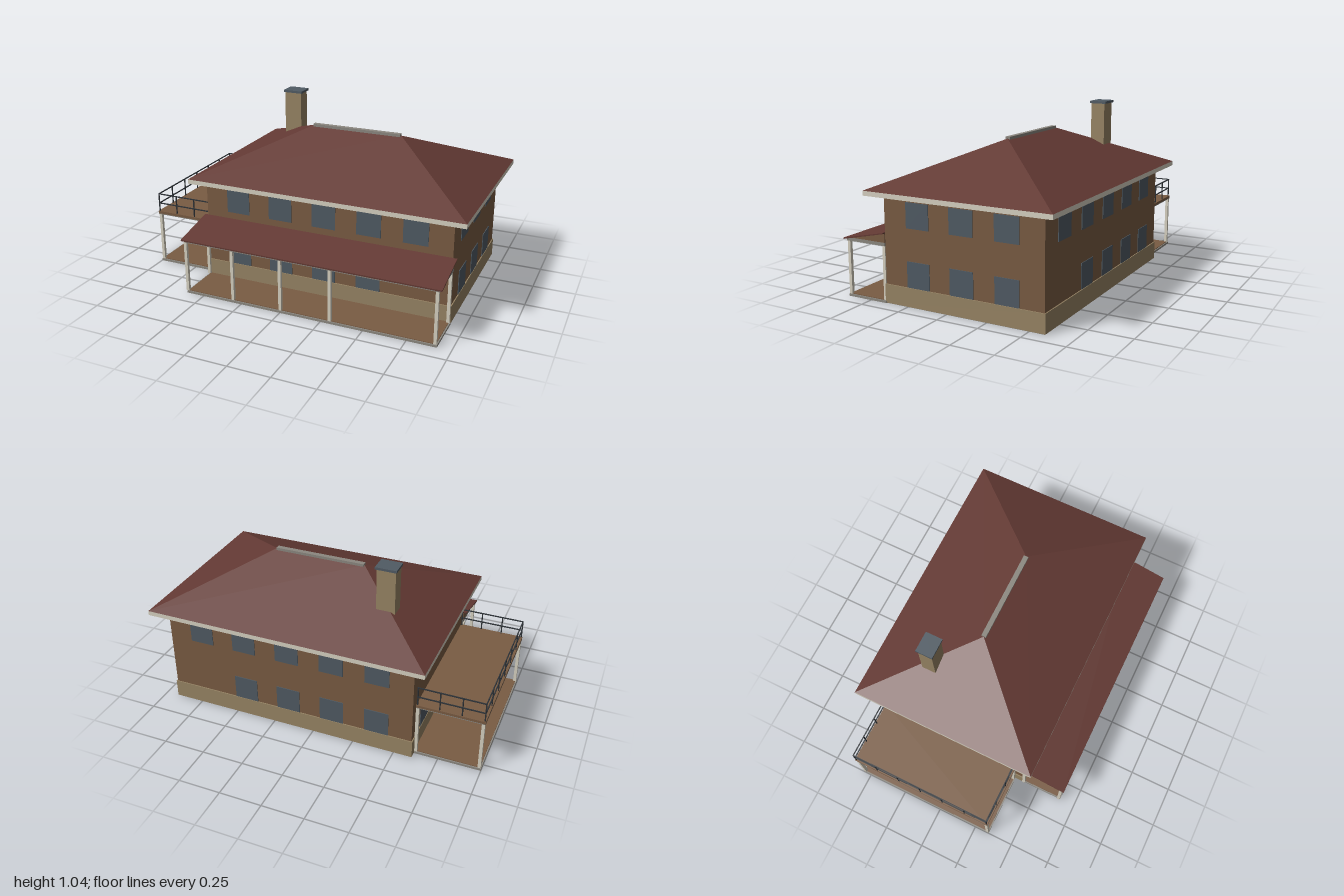
import * as THREE from 'three';

const mat = (name, color, extra = {}) => {
  const m = new THREE.MeshStandardMaterial({ color, ...extra });
  m.name = name;
  return m;
};

export function createModel() {
  const wall = mat('brown siding', 0x7a5c43);
  const stone = mat('tan masonry', 0x988565);
  const roofRed = mat('dark red roofing', 0x643a34, { side: THREE.DoubleSide });
  const trim = mat('cream trim', 0xd8d2c2);
  const glass = mat('slate glass', 0x505b64);
  const concrete = mat('grey concrete', 0x8c8880);
  const iron = mat('dark iron', 0x2f3439);

  const house = new THREE.Group();
  house.name = 'house';

  const add = (name, geometry, material, parent = house) => {
    const m = new THREE.Mesh(geometry, material);
    m.name = name;
    parent.add(m);
    return m;
  };
  const group = (name) => {
    const g = new THREE.Group();
    g.name = name;
    house.add(g);
    return g;
  };
  // box from its minimum and maximum in x, y and z
  const box = (name, material, x0, x1, y0, y1, z0, z1, parent) => {
    const m = add(name, new THREE.BoxGeometry(x1 - x0, y1 - y0, z1 - z0), material, parent);
    m.position.set((x0 + x1) / 2, (y0 + y1) / 2, (z0 + z1) / 2);
    return m;
  };
  // flat faces from corner loops, fanned into triangles
  const faces = (loops) => {
    const p = [];
    for (const l of loops)
      for (let i = 1; i < l.length - 1; i++) p.push(...l[0], ...l[i], ...l[i + 1]);
    const g = new THREE.BufferGeometry();
    g.setAttribute('position', new THREE.Float32BufferAttribute(p, 3));
    g.computeVertexNormals();
    return g;
  };

  // Main body
  const X0 = -0.605, X1 = 0.913, Z0 = -0.59, Z1 = 0.39;
  box('foundation', concrete, X0, X1, 0, 0.004, Z0, Z1);
  box('plinth', stone, X0 - 0.006, X1 + 0.006, 0.004, 0.112, Z0 - 0.006, Z1 + 0.006);
  box('walls', wall, X0, X1, 0.112, 0.625, Z0, Z1);

  // Windows: the lower long rows leave out the last bay
  const windows = group('windows');
  const t = 0.004, w = 0.0725;
  for (const [y0, y1, bays] of [[0.113, 0.26, 4], [0.443, 0.586, 5]]) {
    for (let i = 0; i < bays; i++) {
      const x = -0.393 + i * 0.2735;
      box('frontWindow', glass, x - w, x + w, y0, y1, Z1, Z1 + t, windows);
      box('backWindow', glass, x - w, x + w, y0, y1, Z0 - t, Z0, windows);
    }
    for (let i = 0; i < 3; i++) {
      const z = 0.173 - i * 0.2735;
      box('leftWindow', glass, X1, X1 + t, y0, y1, z - w, z + w, windows);
      box('rightWindow', glass, X0 - t, X0, y0, y1, z - w, z + w, windows);
    }
  }

  // Hip roof with soffit, fascia boards and ridge cap
  const roof = group('roof');
  const rx0 = -0.685, rx1 = 0.995, rz0 = -0.673, rz1 = 0.466, ey = 0.64, fy = 0.613;
  const a = [rx0, ey, rz1], b = [rx1, ey, rz1], c = [rx1, ey, rz0], d = [rx0, ey, rz0];
  const r0 = [-0.125, 0.888, -0.103], r1 = [0.435, 0.888, -0.103];
  add('hipRoof', faces([[a, b, r1, r0], [b, c, r1], [c, d, r0, r1], [d, a, r0]]), roofRed, roof);
  box('soffit', roofRed, rx0 + 0.01, rx1 - 0.01, 0.622, 0.632, rz0 + 0.01, rz1 - 0.01, roof);
  box('frontFascia', trim, rx0, rx1, fy, ey, rz1 - 0.012, rz1, roof);
  box('backFascia', trim, rx0, rx1, fy, ey, rz0, rz0 + 0.012, roof);
  box('rightFascia', trim, rx0, rx0 + 0.012, fy, ey, rz0 + 0.012, rz1 - 0.012, roof);
  box('leftFascia', trim, rx1 - 0.012, rx1, fy, ey, rz0 + 0.012, rz1 - 0.012, roof);
  box('ridgeCap', concrete, -0.125, 0.433, 0.878, 0.898, -0.117, -0.088, roof);

  // Chimney
  const chimney = group('chimney');
  box('chimneyStack', stone, -0.405, -0.295, 0.68, 1.027, -0.361, -0.275, chimney);
  box('chimneyCap', glass, -0.412, -0.287, 1.027, 1.041, -0.371, -0.268, chimney);

  const post = (x, z, y1, parent) =>
    box('post', trim, x - 0.009, x + 0.009, 0.015, y1, z - 0.009, z + 0.009, parent);

  // Front porch: slab, floor, posts, beam and lean-to roof
  const porch = group('porch');
  const px0 = -0.61, px1 = 0.92, pz = 0.655;
  box('porchSlab', concrete, px0, px1, 0, 0.013, Z1, pz, porch);
  box('porchFloor', wall, px0 + 0.008, px1 - 0.008, 0.013, 0.017, Z1, pz - 0.008, porch);
  for (const x of [-0.608, -0.304, 0, 0.304, 0.908]) post(x, 0.643, 0.326, porch);
  for (const x of [-0.608, 0.908]) post(x, 0.4, 0.326, porch);
  box('porchCeiling', concrete, px0, px1, 0.325, 0.344, Z1, pz, porch);
  const gable = new THREE.Shape([[-pz, 0.344], [-Z1, 0.344], [-Z1, 0.398]].map((p) => new THREE.Vector2(...p)));
  const gableGeo = new THREE.ExtrudeGeometry(gable, { depth: px1 - px0, bevelEnabled: false });
  gableGeo.rotateY(Math.PI / 2).translate(px0, 0, 0);
  add('porchGable', gableGeo, wall, porch);
  const section = new THREE.Shape(
    [[-0.665, 0.335], [-Z1, 0.396], [-Z1, 0.402], [-0.665, 0.343]].map((p) => new THREE.Vector2(...p)));
  const leanTo = new THREE.ExtrudeGeometry(section, { depth: 1.563, bevelEnabled: false });
  leanTo.rotateY(Math.PI / 2).translate(-0.627, 0, 0);
  add('porchRoof', leanTo, roofRed, porch);

  // Side terrace with a balcony on posts
  const balcony = group('balcony');
  const bx0 = -1, bx1 = -0.61, bz0 = -0.553, bz1 = 0.342;
  box('terraceSlab', concrete, bx0, bx1, 0, 0.013, bz0, bz1, balcony);
  box('terraceFloor', wall, bx0 + 0.008, bx1, 0.013, 0.017, bz0 + 0.008, bz1 - 0.008, balcony);
  box('balconyUnderside', concrete, bx0, bx1, 0.322, 0.327, bz0, bz1, balcony);
  box('balconyDeck', wall, bx0, bx1, 0.327, 0.342, bz0, bz1, balcony);
  for (const x of [-0.988, -0.618]) for (const z of [bz0 + 0.012, bz1 - 0.012]) post(x, z, 0.323, balcony);

  // Railing along three sides of the balcony
  const r = 0.003, ox = bx0 + 0.006, oz0 = bz0 + 0.008, oz1 = bz1 - 0.008;
  const baluster = (x, z) => box('railPost', iron, x - r, x + r, 0.342, 0.456, z - r, z + r, balcony);
  for (let i = 0; i <= 6; i++) baluster(ox, oz0 + ((oz1 - oz0) * i) / 6);
  for (const z of [oz0, oz1]) for (let i = 1; i <= 3; i++) baluster(ox + i * 0.126, z);
  for (const y of [0.394, 0.455]) {
    box('sideRail', iron, ox - r, ox + r, y - r, y + r, oz0, oz1, balcony);
    for (const z of [oz0, oz1]) box('endRail', iron, ox, bx1, y - r, y + r, z - r, z + r, balcony);
  }

  return house;
}
